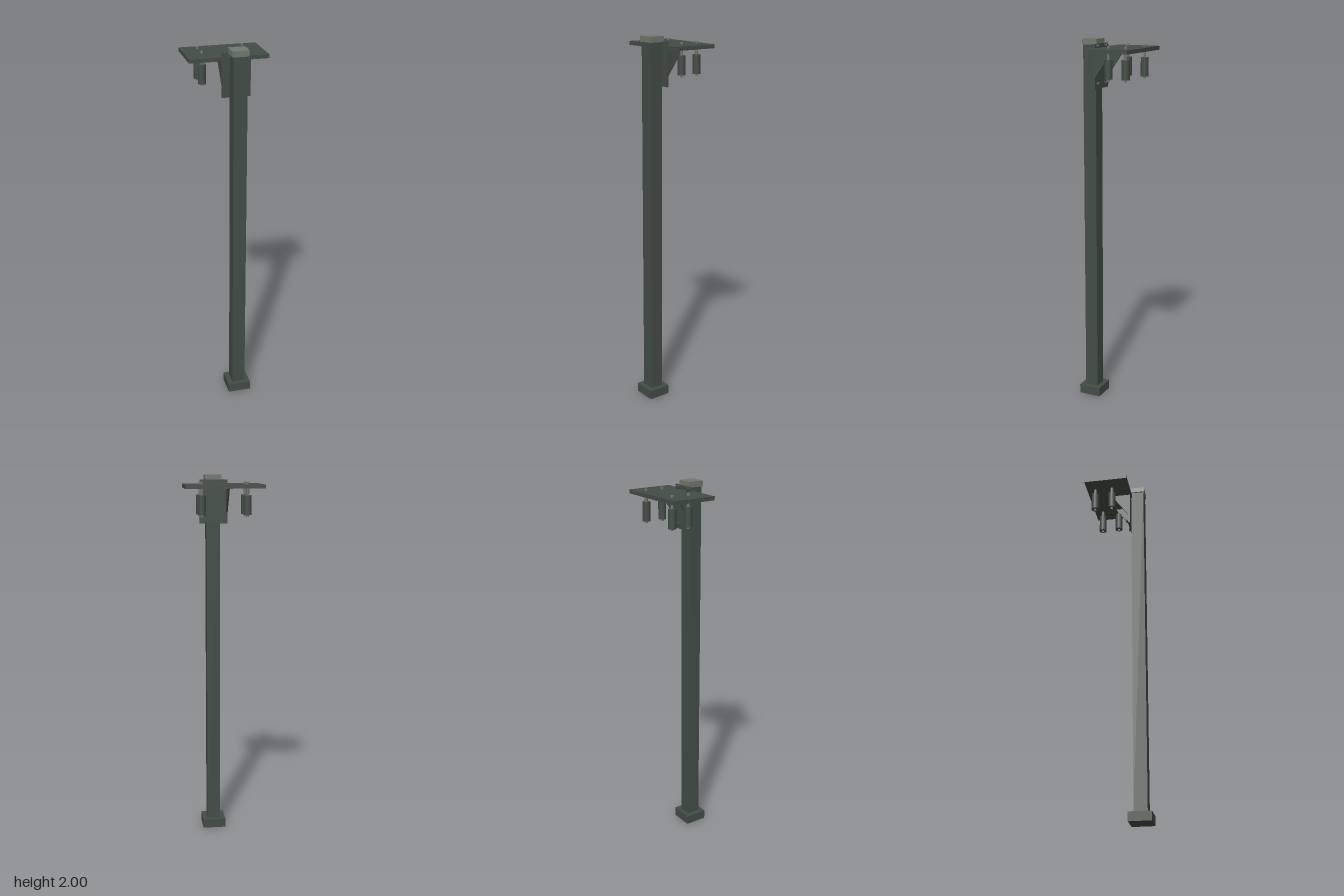
import * as THREE from 'three';

export function createModel() {
  const model = new THREE.Group();
  model.name = 'postWithMountingPlate';

  const darkSteel = new THREE.MeshStandardMaterial({ color: 0x434d47 });
  darkSteel.name = 'dark painted steel';
  const paleSteel = new THREE.MeshStandardMaterial({ color: 0x70786f });
  paleSteel.name = 'pale grey steel';

  const add = (name, geometry, material, parent = model) => {
    const mesh = new THREE.Mesh(geometry, material);
    mesh.name = name;
    parent.add(mesh);
    return mesh;
  };
  // Box given by its lower and upper corners
  const box = (name, a, b, material) => {
    const size = b.map((v, i) => v - a[i]);
    add(name, new THREE.BoxGeometry(...size), material)
      .position.set(...a.map((v, i) => v + size[i] / 2));
  };
  // Upright cylinder between two heights
  const upright = (name, r, y0, y1, sides, material, parent) => {
    add(name, new THREE.CylinderGeometry(r, r, y1 - y0, sides), material, parent)
      .position.y = (y0 + y1) / 2;
  };

  // Post, foot and cap
  box('foot', [-0.025, 0, 0.045], [0.102, 0.05, 0.168], darkSteel);
  box('post', [0.002, 0.05, 0.07], [0.075, 1.97, 0.143], darkSteel);
  box('cap', [-0.005, 1.97, 0.06], [0.082, 2, 0.147], paleSteel);

  // Bracket behind the post and the horizontal plate
  box('backPlate', [-0.036, 1.745, 0.055], [0.112, 1.975, 0.068], darkSteel);
  box('topPlate', [-0.205, 1.935, -0.17], [0.205, 1.955, 0.075], darkSteel);

  // Triangular gussets at both edges of the bracket
  const triangle = new THREE.Shape([
    new THREE.Vector2(-0.06, 1.795),
    new THREE.Vector2(0.04, 1.936),
    new THREE.Vector2(-0.06, 1.936),
  ]);
  const gusset = new THREE.ExtrudeGeometry(triangle, { depth: 0.008, bevelEnabled: false });
  gusset.rotateY(Math.PI / 2);
  for (const x of [-0.037, 0.105]) {
    add('gusset', gusset, darkSteel).position.x = x;
  }

  // Bracket bolts with washers, facing backwards
  for (const x of [-0.009, 0.084]) {
    for (const y of [1.963, 1.77]) {
      const bolt = new THREE.Group();
      bolt.name = 'bracketBolt';
      bolt.position.set(x, y, 0.056);
      bolt.rotation.x = -Math.PI / 2;
      upright('washer', 0.014, 0, 0.004, 16, darkSteel, bolt);
      upright('boltHead', 0.0105, 0.004, 0.014, 6, darkSteel, bolt);
      model.add(bolt);
    }
  }

  // Hanging dampers on threaded rods
  for (const x of [-0.118, 0.118]) {
    for (const z of [-0.122, -0.024]) {
      const damper = new THREE.Group();
      damper.name = 'damper';
      damper.position.set(x, 0, z);
      upright('damperBody', 0.021, 1.8, 1.9, 16, darkSteel, damper);
      upright('rod', 0.008, 1.79, 1.967, 8, paleSteel, damper);
      model.add(damper);
    }
  }

  return model;
}
